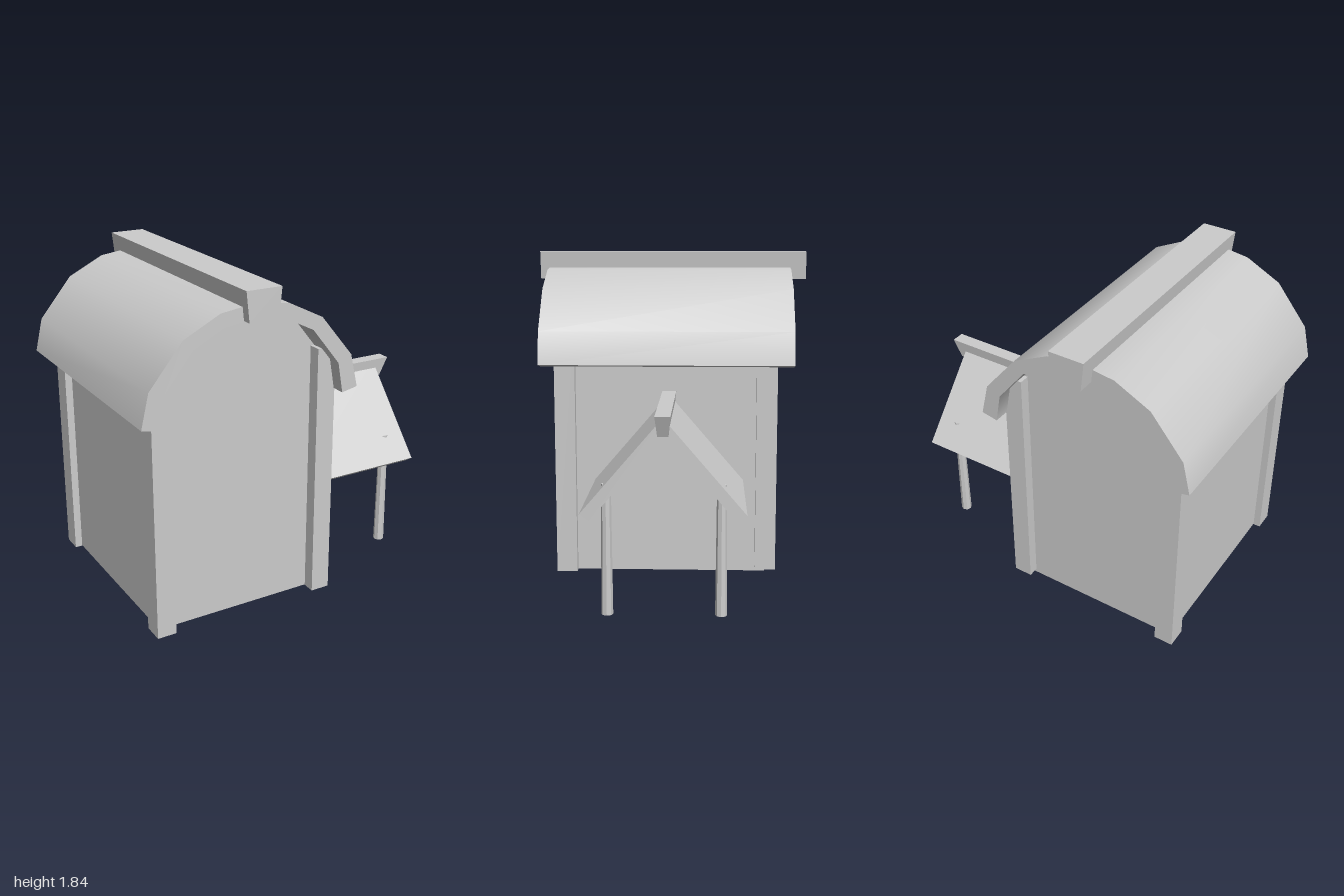
import * as THREE from 'three';
import { toCreasedNormals } from 'three/addons/utils/BufferGeometryUtils.js';

const material = new THREE.MeshStandardMaterial({ color: 0xcccccc });

function add(parent, name, geometry, x = 0, y = 0, z = 0) {
  const mesh = new THREE.Mesh(geometry, material);
  mesh.name = name;
  mesh.position.set(x, y, z);
  parent.add(mesh);
  return mesh;
}

// Prism of a 2D outline along z, centred on z = 0
function prism(points, depth) {
  const shape = new THREE.Shape(points.map(([x, y]) => new THREE.Vector2(x, y)));
  const geometry = new THREE.ExtrudeGeometry(shape, { depth, bevelEnabled: false });
  return geometry.translate(0, 0, -depth / 2);
}

// Full left-to-right arch from its right half (listed from the eave up to the apex)
function mirrorArch(half) {
  const left = half.slice(0, -1).reverse().map(([x, y]) => [-x, y]);
  return [...half, ...left];
}

export function createModel() {
  const model = new THREE.Group();
  model.name = 'barn';
  const house = new THREE.Group();
  house.name = 'house';
  house.position.set(-0.353, 0, 0.014);
  house.rotation.y = -0.044;
  model.add(house);

  // Curved roof shell
  const outer = mirrorArch([[0.618, 1.228], [0.575, 1.41], [0.39, 1.635], [0.19, 1.735], [0, 1.76]]);
  const inner = mirrorArch([[0.527, 1.21], [0.497, 1.375], [0.338, 1.575], [0.17, 1.66], [0, 1.682]]);
  const roof = toCreasedNormals(prism([...outer, ...inner.slice().reverse()], 1.416), 0.6);
  add(house, 'roof', roof);

  // Walls, with gables filling the arch
  const gable = mirrorArch([[0.49, 0.025], [0.49, 1.39], [0.338, 1.58], [0.17, 1.665], [0, 1.69]]);
  add(house, 'walls', prism(gable, 1.12));

  // Corner posts
  for (const sx of [-1, 1]) {
    for (const sz of [-1, 1]) {
      const bottom = sx > 0 && sz < 0 ? 0.045 : 0.022;
      const height = 1.44 - bottom;
      add(house, 'cornerPost', new THREE.BoxGeometry(0.108, height, 0.116),
        sx * 0.477, bottom + height / 2, sz * 0.567 + 0.006);
    }
  }

  // Ridge beam, narrower underneath
  add(house, 'ridgeBeam',
    prism([[-0.082, 1.68], [0.082, 1.68], [0.099, 1.84], [-0.099, 1.84]], 1.56), 0.019, 0, -0.02);

  // Side porch
  const porch = new THREE.Group();
  porch.name = 'porch';
  porch.position.z = -0.012;
  house.add(porch);

  const slabs = [[0.37, 0.525], [0.42, 0.56], [0, 1.05], [-0.42, 0.56], [-0.37, 0.525], [0, 0.962]];
  const porchRoof = prism(slabs, 0.802).rotateY(Math.PI / 2);
  add(porch, 'porchRoof', porchRoof, 0.871);

  // Porch ridge with a slanted outer end
  const ridge = new THREE.BoxGeometry(0.873, 0.108, 0.078);
  const p = ridge.attributes.position;
  for (let i = 0; i < p.count; i++) {
    if (p.getY(i) > 0) continue;
    p.setZ(i, p.getZ(i) * 0.7);
    if (p.getX(i) > 0) p.setX(i, p.getX(i) - 0.045);
  }
  ridge.computeVertexNormals();
  add(porch, 'porchRidge', ridge, 0.9165, 1.016, -0.002);

  // Porch legs
  for (const side of [-1, 1]) {
    const leg = toCreasedNormals(new THREE.CylinderGeometry(0.025, 0.031, 0.69, 8), 0.5);
    add(porch, 'porchLeg', leg, 1.152, 0.345, side * 0.294);
  }

  return model;
}
